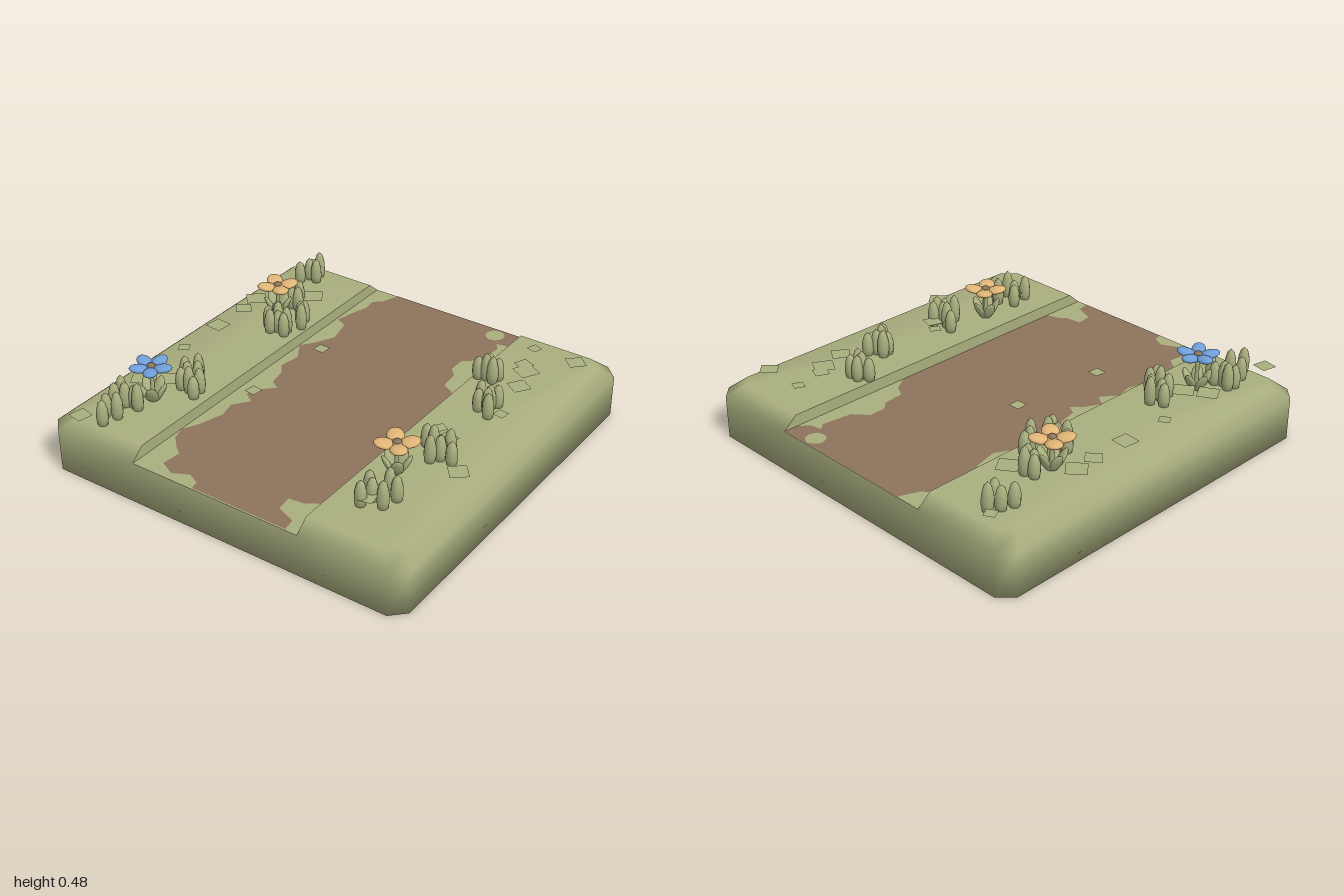
import * as THREE from 'three';

const mat = (name, color, side = THREE.FrontSide) => {
  const m = new THREE.MeshStandardMaterial({ color, side });
  m.name = name;
  return m;
};

const FLOOR = 0.22, BANK = 0.28, IN = 0.465, CUT = 0.93;

export function createModel() {
  const green = mat('grassGreen', 0xa9ae7e, THREE.DoubleSide);
  const brown = mat('dirtBrown', 0x8c735b);
  const orange = mat('petalOrange', 0xe0b576);
  const blue = mat('petalBlue', 0x6f9fd8);

  const model = new THREE.Group();
  model.name = 'pathTile';
  const add = (parent, name, geo, material, x = 0, y = 0, z = 0) => {
    const m = new THREE.Mesh(geo, material);
    m.name = name;
    m.position.set(x, y, z);
    parent.add(m);
    return m;
  };

  // Ground block: bottom, shoulder and inset top loops, shared for soft edges
  const half = [[IN, 1], [CUT, 1], [1, CUT], [1, -CUT], [CUT, -1], [IN, -1]];
  const ring = [...half, ...half.map(([x, z]) => [-x, -z])];
  const pos = [], idx = [];
  const inset = (v) => (Math.abs(v) > 0.5 ? v * CUT : v);
  ring.forEach(([x, z]) => pos.push(x, 0, z));
  ring.forEach(([x, z]) => pos.push(x, FLOOR, z));
  ring.forEach(([x, z]) => pos.push(inset(x), BANK, inset(z)));
  pos.push(0, 0, 0, 0.7, BANK, 0, -0.7, BANK, 0);
  const quad = (a, b, c, d) => idx.push(a, b, c, a, c, d);
  for (let i = 0; i < 12; i++) {
    const j = (i + 1) % 12;
    quad(i, j, 12 + j, 12 + i);
    idx.push(36, j, i);
    const center = i < 6 ? 37 : 38;
    if (i % 6 < 5) quad(12 + i, 12 + j, 24 + j, 24 + i);
    const next = i % 6 < 5 ? j : i - 5;
    idx.push(center, 24 + i, 24 + next);
  }
  const ground = new THREE.BufferGeometry();
  ground.setAttribute('position', new THREE.Float32BufferAttribute(pos, 3));
  ground.setIndex(idx);
  ground.computeVertexNormals();
  add(model, 'ground', ground, green);

  // Sunken floor and the bank walls on either side of it
  add(model, 'pathFloor', new THREE.PlaneGeometry(IN * 2, 2).rotateX(-Math.PI / 2), green, 0, FLOOR, 0);
  const wallShape = new THREE.Shape([[1, FLOOR], [CUT, BANK], [-CUT, BANK], [-1, FLOOR]]
    .map(([u, v]) => new THREE.Vector2(u, v)));
  for (const s of [-1, 1]) {
    const wall = add(model, 'bankWall', new THREE.ShapeGeometry(wallShape), green, s * IN, 0, 0);
    wall.rotation.y = -s * Math.PI / 2;
  }

  // Ragged dirt path, [x, z] down the left edge and back up the right
  const edge = [
    [-0.33, -1], [-0.37, -0.9], [-0.41, -0.87], [-0.4, -0.8], [-0.43, -0.7], [-0.45, -0.61], [-0.39, -0.58],
    [-0.36, -0.45], [-0.41, -0.35], [-0.46, -0.28], [-0.4, -0.18], [-0.42, -0.07], [-0.38, -0.02], [-0.36, 0.08],
    [-0.31, 0.11], [-0.36, 0.16], [-0.4, 0.24], [-0.34, 0.28], [-0.4, 0.36], [-0.38, 0.45], [-0.42, 0.58],
    [-0.46, 0.66], [-0.44, 0.73], [-0.38, 0.79], [-0.34, 0.82], [-0.35, 0.92], [-0.27, 0.96], [-0.19, 0.92],
    [-0.13, 0.95], [-0.12, 0.995], [0.4, 0.995], [0.39, 0.93], [0.29, 0.89], [0.28, 0.81], [0.36, 0.8],
    [0.4, 0.77], [0.46, 0.75], [0.46, -0.27], [0.41, -0.35], [0.35, -0.38], [0.34, -0.49], [0.3, -0.53],
    [0.3, -0.62], [0.37, -0.68], [0.39, -0.83], [0.36, -0.87], [0.42, -0.88], [0.46, -0.93], [0.46, -1],
  ];
  const dirt = new THREE.Shape(edge.map(([x, z]) => new THREE.Vector2(x, -z)));
  const hole = new THREE.Path();
  hole.absarc(0.31, 0.94, 0.05, 0, Math.PI * 2, true);
  dirt.holes.push(hole);
  add(model, 'dirtPath', new THREE.ShapeGeometry(dirt, 6).rotateX(-Math.PI / 2), brown, 0, FLOOR + 0.003, 0);

  // Loose flat leaves: x, z, size, turn
  const square = new THREE.PlaneGeometry(1, 1).rotateX(-Math.PI / 2);
  for (const [x, z, size, turn] of [
    [-0.82, -0.91, 0.055, 0.5], [-0.6, -0.59, 0.1, 0.6], [-0.83, -0.4, 0.1, 0.7], [-0.82, -0.28, 0.08, 0.7],
    [-0.82, -0.07, 0.09, -0.1], [-0.82, 0.2, 0.055, 0.5], [-0.7, 0.48, 0.1, 0.6], [-0.8, 0.54, 0.1, 0.5],
    [-0.82, 0.95, 0.08, -0.2], [0.62, -0.79, 0.055, -0.4], [0.85, -0.79, 0.085, 0.8], [0.65, -0.63, 0.07, -0.4],
    [0.69, -0.58, 0.1, -0.5], [0.73, -0.44, 0.09, -0.6], [0.78, -0.18, 0.055, -0.1], [0.61, 0.08, 0.055, -0.5],
    [0.68, 0.13, 0.08, -0.3], [0.86, 0.33, 0.09, 0.7], [0.64, 0.72, 0.07, 0.2], [-0.25, -0.18, 0.06, 0],
    [-0.29, 0.32, 0.06, -0.1],
  ]) {
    const leaf = add(model, 'flatLeaf', square, green, x, 0.325, z);
    leaf.scale.setScalar(size);
    leaf.rotation.y = turn;
  }

  // Plump grass blades in clumps
  const bladeGeo = new THREE.LatheGeometry([[0, 0], [0.022, 0], [0.03, 0.045], [0.028, 0.09], [0.018, 0.13], [0, 0.15]]
    .map(([r, y]) => new THREE.Vector2(r, y)), 10);
  const clumps = [
    [[-0.8, -0.75], [-0.75, -0.86], [-0.73, -0.8], [-0.78, -0.81]],
    [[-0.7, -0.53], [-0.65, -0.54], [-0.63, -0.5], [-0.67, -0.5]],
    [[-0.53, -0.42], [-0.5, -0.35], [-0.53, -0.385]],
    [[-0.65, -0.27], [-0.61, -0.3], [-0.61, -0.23], [-0.58, -0.26], [-0.54, -0.28], [-0.53, -0.24]],
    [[-0.68, 0.36], [-0.62, 0.33], [-0.59, 0.37], [-0.64, 0.39]],
    [[-0.63, 0.45], [-0.58, 0.45], [-0.54, 0.42], [-0.53, 0.48]],
    [[-0.8, 0.74], [-0.79, 0.7], [-0.75, 0.72], [-0.71, 0.7], [-0.68, 0.71]],
    [[-0.77, 0.83], [-0.71, 0.82], [-0.73, 0.9]],
    [[0.49, -0.46], [0.53, -0.47], [0.53, -0.5], [0.58, -0.5], [0.57, -0.46]],
    [[0.7, -0.29], [0.63, -0.25], [0.68, -0.25], [0.64, -0.21], [0.69, -0.21], [0.71, -0.18]],
    [[0.6, 0.18], [0.65, 0.2], [0.72, 0.17], [0.7, 0.22], [0.68, 0.28], [0.71, 0.24], [0.77, 0.24]],
    [[0.59, 0.63], [0.67, 0.59], [0.72, 0.61], [0.63, 0.67], [0.7, 0.69], [0.61, 0.73]],
  ];
  for (const blades of clumps) {
    const clump = new THREE.Group();
    clump.name = 'grassClump';
    blades.forEach(([x, z], i) => {
      const blade = add(clump, 'grassBlade', bladeGeo, green, x, 0.27, z);
      blade.scale.y = 0.88 + 0.08 * ((i * 2) % 3);
    });
    model.add(clump);
  }

  // Flowers: stem, fan of leaves, upturned petals and a round heart
  const ball = new THREE.SphereGeometry(1, 16, 10);
  const stemGeo = new THREE.CylinderGeometry(0.009, 0.012, 1, 8);
  const flower = (x, z, y, count, turn, material) => {
    const g = new THREE.Group();
    g.name = 'flower';
    g.position.set(x, 0, z);
    const h = y - 0.27;
    add(g, 'stem', stemGeo, green, 0, 0.27 + h / 2, 0).scale.y = h;
    for (let i = 0; i < 5; i++) {
      const arm = new THREE.Group();
      arm.name = 'leafArm';
      arm.rotation.y = i * Math.PI * 0.4 + 0.3;
      const leaf = add(arm, 'leaf', ball, green, 0.042, 0.325, 0);
      leaf.scale.set(0.014, 0.058, 0.03);
      leaf.rotation.z = -0.5;
      g.add(arm);
    }
    for (let i = 0; i < count; i++) {
      const arm = new THREE.Group();
      arm.name = 'petalArm';
      arm.rotation.y = turn + (i / count) * Math.PI * 2;
      const petal = add(arm, 'petal', ball, material, 0.058, y + 0.004, 0);
      petal.scale.set(0.05, 0.018, count === 4 ? 0.042 : 0.035);
      petal.rotation.z = 0.18;
      g.add(arm);
    }
    add(g, 'flowerBase', ball, material, 0, y - 0.004, 0).scale.set(0.045, 0.016, 0.045);
    add(g, 'flowerHeart', ball, brown, 0, y + 0.008, 0).scale.set(0.021, 0.015, 0.021);
    model.add(g);
  };
  flower(-0.7, -0.42, 0.43, 4, 0.9, orange);
  flower(0.6, 0.43, 0.43, 4, 0.7, orange);
  flower(-0.68, 0.6, 0.457, 5, Math.PI / 2, blue);

  return model;
}
